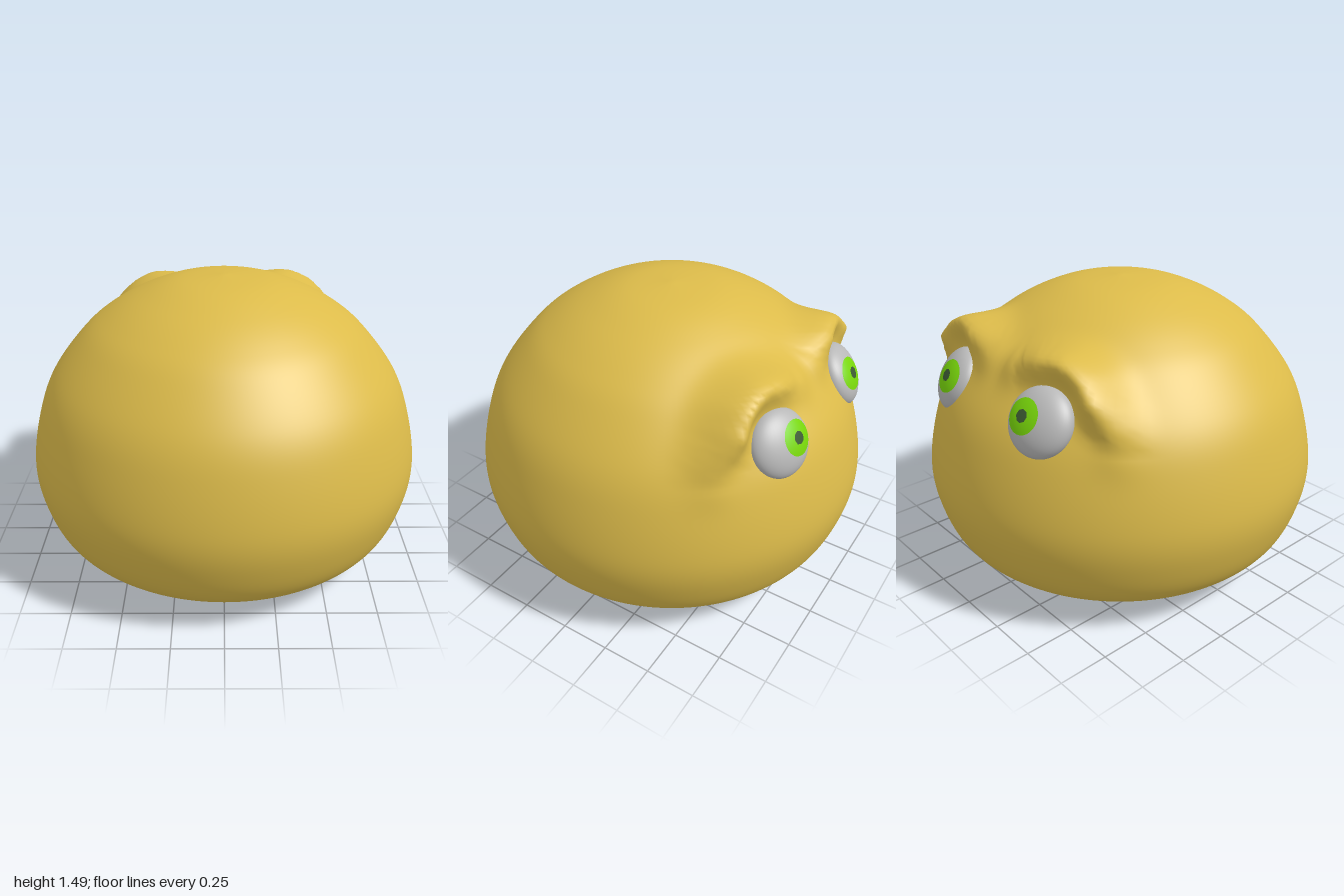
import * as THREE from 'three';
import { mergeVertices } from 'three/addons/utils/BufferGeometryUtils.js';

const FACE_X = -0.018; // the face sits slightly off the body's axis
const material = (name, color) => {
  const m = new THREE.MeshStandardMaterial({ color });
  m.name = name;
  return m;
};

// Body profile (radius, height) from the underside to the crown
const PROFILE = [
  [0, 0], [0.3, 0.008], [0.55, 0.03], [0.76, 0.09], [0.9, 0.2], [0.975, 0.37], [1, 0.56],
  [0.955, 0.8], [0.875, 1], [0.72, 1.2], [0.59, 1.31], [0.43, 1.4], [0.24, 1.465], [0, 1.49],
];

// Brow crest: point on the body (x, y, z) and how far it swells out there
const BROW = [
  [0.1, 1.21, -0.69, 0.04], [0.22, 1.24, -0.63, 0.11], [0.35, 1.25, -0.57, 0.15],
  [0.47, 1.21, -0.56, 0.16], [0.55, 1.13, -0.57, 0.15], [0.62, 1.04, -0.57, 0.08],
  [0.66, 0.95, -0.6, 0.02],
];

// Swell of the brow ridge at a point, by distance to the crest
function browSwell(p, crest, heights) {
  let best = Infinity, height = 0;
  crest.forEach((c, i) => {
    const d = c.distanceToSquared(p);
    if (d < best) { best = d; height = heights[i]; }
  });
  return height * Math.exp(-best / (2 * 0.07 * 0.07));
}

function bodyGeometry() {
  const curve = new THREE.SplineCurve(PROFILE.map(([r, y]) => new THREE.Vector2(r, y)));
  const points = curve.getSpacedPoints(120);
  points.forEach((p) => { p.x = Math.max(p.x, 0); p.y = Math.max(p.y, 0); });
  let geo = new THREE.LatheGeometry(points, 180);
  geo.deleteAttribute('uv');
  geo.deleteAttribute('normal');
  geo = mergeVertices(geo, 1e-4);

  // Push the brows forward over the eyes
  const crest = new THREE.CatmullRomCurve3(BROW.map((b) => new THREE.Vector3(b[0], b[1], b[2]))).getPoints(60);
  const heights = crest.map((_, i) => {
    const t = (i / 60) * (BROW.length - 1), k = Math.min(Math.floor(t), BROW.length - 2);
    return THREE.MathUtils.lerp(BROW[k][3], BROW[k + 1][3], t - k);
  });
  const pos = geo.attributes.position, p = new THREE.Vector3();
  for (let i = 0; i < pos.count; i++) {
    p.fromBufferAttribute(pos, i);
    if (p.z > -0.2 || p.y < 0.7) continue;
    const side = p.x < FACE_X ? -1 : 1;
    const local = new THREE.Vector3(Math.abs(p.x - FACE_X), p.y, p.z);
    const h = browSwell(local, crest, heights);
    pos.setXYZ(i, p.x + side * 0.25 * h, p.y + 0.4 * h, p.z - 0.88 * h);
  }
  geo.computeVertexNormals();
  return geo;
}

const EYE_R = 0.162, EYE_DEPTH = 0.085;

// Drape a flat disc over the front of the eyeball
function drape(geo, dx, dy, lift) {
  const pos = geo.attributes.position;
  for (let i = 0; i < pos.count; i++) {
    const x = pos.getX(i) + dx, y = pos.getY(i) + dy;
    const q = Math.max(0, 1 - (x * x + y * y) / (EYE_R * EYE_R));
    pos.setXYZ(i, x, y, EYE_DEPTH * Math.sqrt(q) + lift);
  }
  geo.computeVertexNormals();
  return geo;
}

function createEye(side, mats) {
  const eye = new THREE.Group();
  const add = (name, geo, mat) => {
    const mesh = new THREE.Mesh(geo, mat);
    mesh.name = name;
    eye.add(mesh);
  };
  const ball = new THREE.SphereGeometry(1, 48, 32).scale(EYE_R, EYE_R, EYE_DEPTH);
  add('eyeball', ball, mats.white);
  // Gaze turned a little towards the middle
  const dx = 0.05 * side, dy = 0.008;
  add('iris', drape(new THREE.RingGeometry(0.015, 0.083, 36, 6), dx, dy, 0.003), mats.iris);
  add('pupil', drape(new THREE.CircleGeometry(0.031, 8), dx, dy, 0.006), mats.pupil);

  eye.position.set(FACE_X + side * 0.335, 1.04, -0.765);
  eye.lookAt(eye.position.clone().add(new THREE.Vector3(side * 0.28, 0.47, -0.84)));
  eye.name = side > 0 ? 'leftEye' : 'rightEye';
  return eye;
}

export function createModel() {
  const model = new THREE.Group();
  model.name = 'blobCreature';
  const mats = {
    skin: material('mustard skin', 0xdcbb4a),
    white: material('eye grey', 0xb8b8b8),
    iris: material('iris green', 0x78d60a),
    pupil: material('pupil dark green', 0x3c5a32),
  };
  const body = new THREE.Mesh(bodyGeometry(), mats.skin);
  body.name = 'body';
  model.add(body);
  for (const side of [-1, 1]) model.add(createEye(side, mats));
  return model;
}
